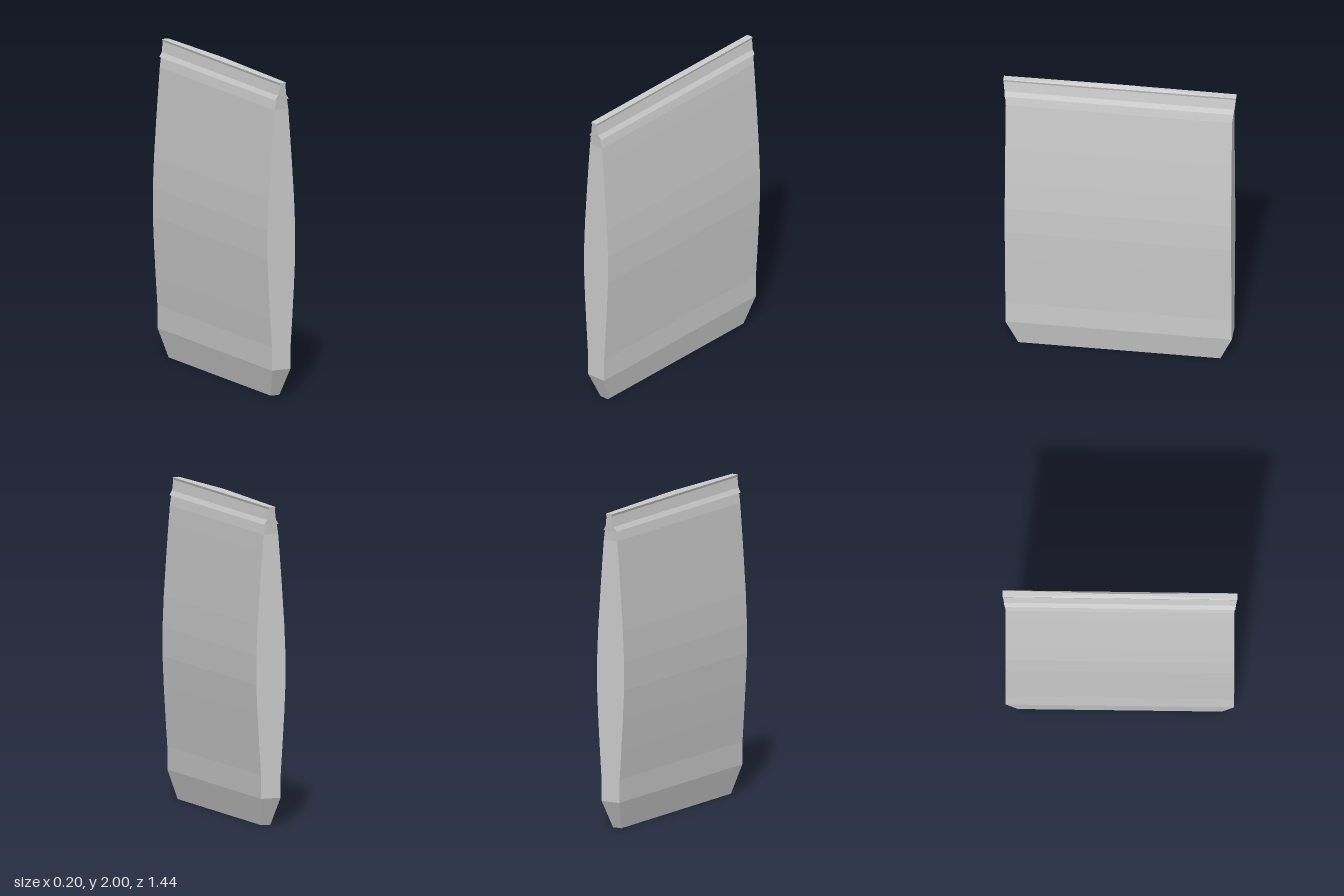
import * as THREE from 'three';

const material = new THREE.MeshStandardMaterial({ color: 0xcccccc, flatShading: true });

// Stack rectangular sections [y, halfWidthX, halfDepthZ]; close with a fan to a centre point at each end
function loft(name, sections, topY = sections[sections.length - 1][0]) {
  const rings = sections.map(([y, hx, hz]) => [[hx, y, hz], [hx, y, -hz], [-hx, y, -hz], [-hx, y, hz]]);
  const bottom = [0, sections[0][0], 0];
  const top = [0, topY, 0];
  const positions = [];
  const tri = (...corners) => corners.forEach((p) => positions.push(...p));
  for (let i = 0; i < 4; i++) {
    const j = (i + 1) % 4;
    for (let k = 0; k < rings.length - 1; k++) {
      const lower = rings[k], upper = rings[k + 1];
      tri(lower[i], lower[j], upper[j]);
      tri(lower[i], upper[j], upper[i]);
    }
    tri(rings[0][j], rings[0][i], bottom);
    const last = rings[rings.length - 1];
    tri(last[i], last[j], top);
  }
  const geometry = new THREE.BufferGeometry();
  geometry.setAttribute('position', new THREE.Float32BufferAttribute(positions, 3));
  geometry.computeVertexNormals();
  const mesh = new THREE.Mesh(geometry, material);
  mesh.name = name;
  return mesh;
}

export function createModel() {
  const group = new THREE.Group();
  group.name = 'pouch';

  // Bulging body with a tapered base
  group.add(loft('body', [
    [0, 0.03, 0.625], [0.175, 0.065, 0.7], [0.32, 0.066, 0.7], [0.5, 0.078, 0.7],
    [0.7, 0.09, 0.7], [0.88, 0.098, 0.7], [1.06, 0.098, 0.7], [1.25, 0.09, 0.7],
    [1.5, 0.073, 0.7], [1.7, 0.058, 0.7], [1.81, 0.049, 0.7], [1.875, 0.036, 0.707],
  ]));

  // Ridge running along both faces under the top strip
  group.add(loft('sealRidge', [[1.872, 0.048, 0.707], [1.9, 0.03, 0.711]]));

  // Narrow flared top strip, rising slightly to its middle
  group.add(loft('topStrip', [[1.895, 0.03, 0.71], [1.965, 0.018, 0.718], [1.98, 0.022, 0.72]], 2));

  return group;
}
